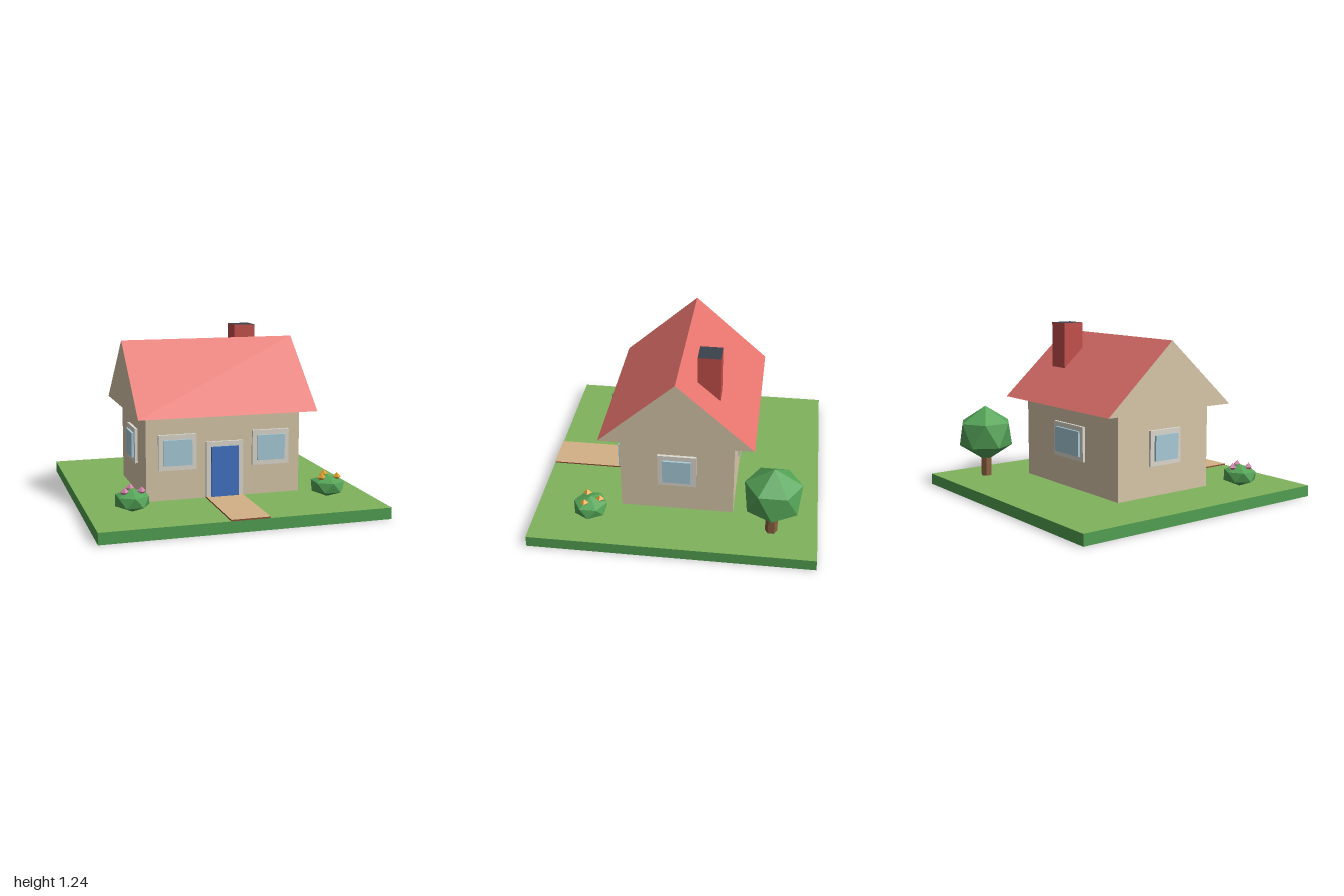
import * as THREE from 'three';
import { ConvexGeometry } from 'three/addons/geometries/ConvexGeometry.js';

const mat = (color) => new THREE.MeshStandardMaterial({ color, flatShading: true });
const M = {
  lawn: mat(0x80b35c), soil: mat(0x52a052), wall: mat(0xd8c8aa), roof: mat(0xe5736d),
  brick: mat(0xc44f4a), flue: mat(0x3c424c), frame: mat(0xdedad0), glass: mat(0xa8cbd8),
  door: mat(0x4173c4), path: mat(0xd2b186), pathEdge: mat(0x8f4f38), trunk: mat(0x8a603f),
  leaf: mat(0x55a558), pink: mat(0xd585ad), orange: mat(0xe5a535),
};

function add(parent, name, geometry, material, x = 0, y = 0, z = 0) {
  const mesh = new THREE.Mesh(geometry, material);
  mesh.name = name;
  mesh.position.set(x, y, z);
  parent.add(mesh);
  return mesh;
}

function group(parent, name, x = 0, y = 0, z = 0) {
  const g = new THREE.Group();
  g.name = name;
  g.position.set(x, y, z);
  parent.add(g);
  return g;
}

const box = (w, h, d) => new THREE.BoxGeometry(w, h, d);

// Box materials with a different top face
const topped = (side, top) => [side, side, top, side, side, side];

// Faceted crown: two staggered rings of six points between two tips
function crown(radius, halfHeight) {
  const points = [new THREE.Vector3(0, halfHeight, 0), new THREE.Vector3(0, -halfHeight, 0)];
  for (let i = 0; i < 12; i++) {
    const a = (i * Math.PI) / 6;
    const y = (i % 2 ? -0.42 : 0.42) * halfHeight;
    points.push(new THREE.Vector3(radius * Math.sin(a), y, radius * Math.cos(a)));
  }
  return new ConvexGeometry(points);
}

// Frame with a raised pane, facing +z before it is turned
function addWindow(parent, name, x, z, turn, width) {
  const g = group(parent, name, x, 0.42, z);
  g.rotation.y = turn;
  add(g, 'windowFrame', box(width, 0.25, 0.02), M.frame, 0, 0, 0.01);
  add(g, 'windowPane', box(width - 0.07, 0.18, 0.036), M.glass, 0, 0, 0.018);
}

function addBush(parent, name, x, flowerMaterial) {
  const g = group(parent, name, x, 0.16, 0.6);
  add(g, 'bushLeaves', crown(0.117, 0.08), M.leaf);
  for (const [fx, fz] of [[0, -0.07], [-0.057, 0.03], [0.057, 0.03]]) {
    add(g, 'flower', new THREE.OctahedronGeometry(0.031), flowerMaterial, fx, 0.065, fz);
  }
}

export function createModel() {
  const model = new THREE.Group();
  model.name = 'cottage';

  // Ground and path
  add(model, 'ground', box(2, 0.08, 2), topped(M.soil, M.lawn), 0, 0.04, 0);
  add(model, 'path', box(0.27, 0.01, 0.6), topped(M.pathEdge, M.path), 0, 0.085, 0.7);

  // Walls
  const house = group(model, 'house');
  add(house, 'walls', box(1.12, 0.6, 0.8), M.wall, 0, 0.38, 0);

  // Roof: two slopes, two gables and a flat soffit
  const roof = group(house, 'roof', 0, 0.68, 0);
  const span = 0.54, rise = 0.48, halfLength = 0.64;
  const gable = new THREE.Shape([
    new THREE.Vector2(-span, 0), new THREE.Vector2(span, 0), new THREE.Vector2(0, rise),
  ]);
  for (const s of [1, -1]) {
    const side = group(roof, s > 0 ? 'frontRoof' : 'backRoof');
    side.rotation.y = s > 0 ? 0 : Math.PI;
    const slope = add(side, 'roofSlope',
      new THREE.PlaneGeometry(2 * halfLength, Math.hypot(span, rise)), M.roof, 0, rise / 2, span / 2);
    slope.rotation.x = -Math.atan2(span, rise);
    const end = add(roof, s > 0 ? 'leftGable' : 'rightGable',
      new THREE.ShapeGeometry(gable), M.wall, s * halfLength, 0, 0);
    end.rotation.y = (s * Math.PI) / 2;
  }
  const soffit = add(roof, 'soffit', new THREE.PlaneGeometry(2 * halfLength, 2 * span), M.wall);
  soffit.rotation.x = Math.PI / 2;

  // Chimney
  add(house, 'chimney', box(0.16, 0.36, 0.16), topped(M.brick, M.flue), 0.32, 1.06, -0.2);

  // Door
  add(house, 'doorFrame', box(0.27, 0.4, 0.02), M.frame, 0, 0.28, 0.41);
  add(house, 'door', box(0.2, 0.36, 0.036), M.door, 0, 0.265, 0.418);

  // Windows
  addWindow(house, 'frontRightWindow', -0.34, 0.4, 0, 0.27);
  addWindow(house, 'frontLeftWindow', 0.34, 0.4, 0, 0.27);
  addWindow(house, 'leftWindow', 0.56, 0, Math.PI / 2, 0.27);
  addWindow(house, 'rightWindow', -0.56, 0, -Math.PI / 2, 0.27);
  addWindow(house, 'backWindow', 0, -0.4, Math.PI, 0.36);

  // Tree
  const tree = group(model, 'tree', 0.72, 0, -0.68);
  add(tree, 'trunk', new THREE.CylinderGeometry(0.043, 0.043, 0.3, 6), M.trunk, 0, 0.15, 0);
  add(tree, 'treeCrown', crown(0.196, 0.21), M.leaf, 0, 0.4, 0);

  // Flowering bushes
  addBush(model, 'rightBush', -0.7, M.pink);
  addBush(model, 'leftBush', 0.7, M.orange);

  return model;
}
